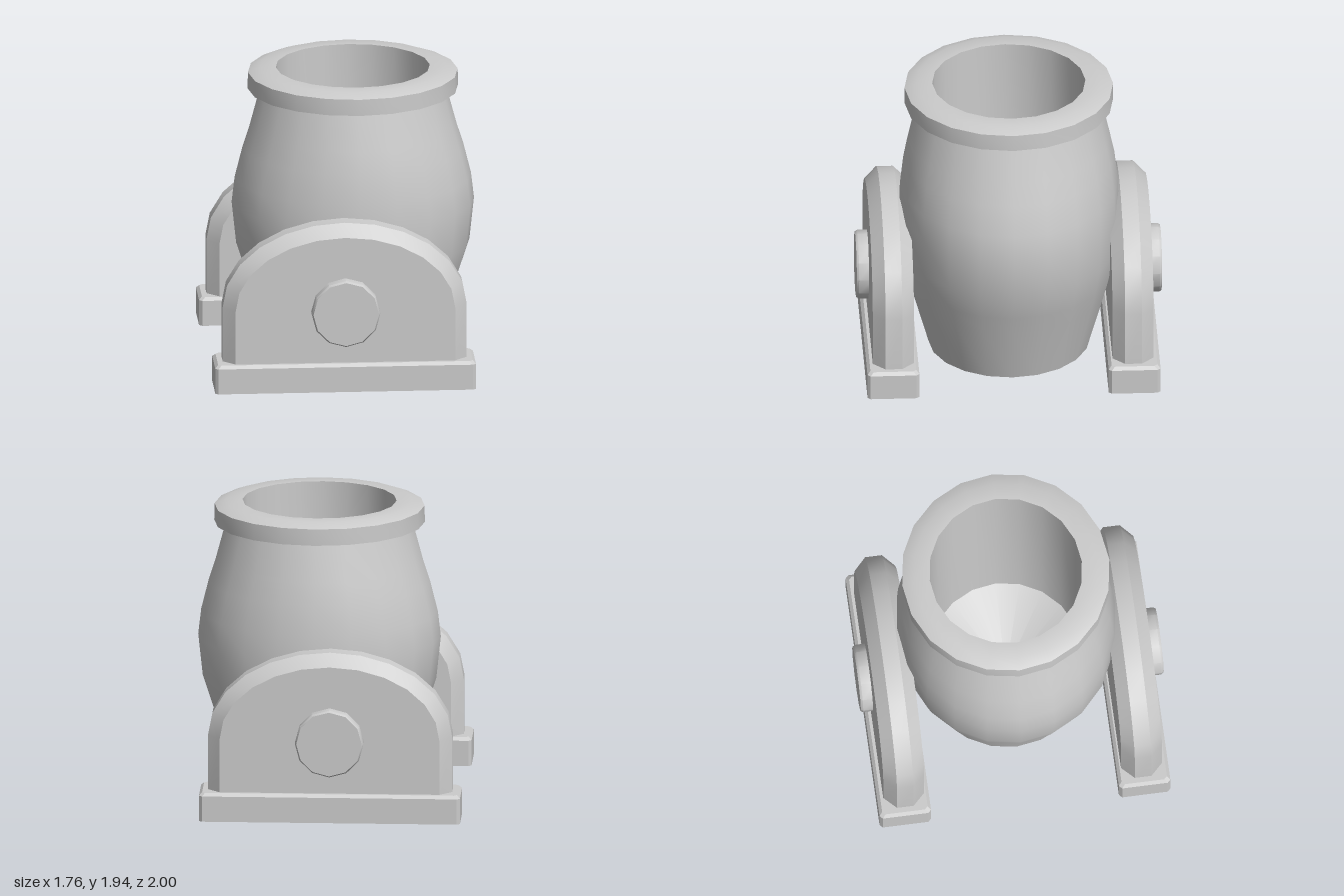
import * as THREE from 'three';
import { toCreasedNormals } from 'three/addons/utils/BufferGeometryUtils.js';

const material = new THREE.MeshStandardMaterial({ color: 0xcccccc, side: THREE.DoubleSide });

function part(name, geometry, crease = 0.6) {
  const mesh = new THREE.Mesh(toCreasedNormals(geometry, crease), material);
  mesh.name = name;
  return mesh;
}

// Bulging barrel with a collar and a bore that ends in a shallow cone
function barrelGeometry() {
  const profile = [
    [0.53, 0.02], [0.655, 0.42], [0.7, 0.55], [0.765, 0.75], [0.795, 1.03],
    [0.775, 1.2], [0.725, 1.4], [0.68, 1.54], [0.61, 1.8],
    [0.69, 1.8], [0.688, 1.91], [0.61, 1.94], [0.505, 1.94],
    [0.51, 0.31], [0, 0],
  ].map(([r, y]) => new THREE.Vector2(r, y));
  const geometry = new THREE.LatheGeometry(profile, 20);
  // Flatten the belly towards the side supports
  const p = geometry.attributes.position;
  for (let i = 0; i < p.count; i++) {
    const d = (p.getY(i) - 1) / 0.45;
    p.setZ(i, p.getZ(i) * (0.995 - 0.09 * Math.exp(-d * d)));
  }
  return geometry;
}

// Arched support plate, chamfered on both faces
function plateGeometry() {
  const bevel = 0.08, halfWidth = 0.8 - bevel, spring = 0.55, rise = 0.57 - bevel;
  const shape = new THREE.Shape();
  shape.moveTo(-halfWidth, 0.17);
  shape.lineTo(halfWidth, 0.17);
  const steps = 12;
  for (let i = 0; i <= steps; i++) {
    const a = (i / steps) * Math.PI;
    shape.lineTo(halfWidth * Math.cos(a), spring + rise * Math.sin(a));
  }
  shape.closePath();
  const geometry = new THREE.ExtrudeGeometry(shape, {
    depth: 0.11, bevelThickness: 0.08, bevelSize: bevel, bevelSegments: 1,
  });
  return geometry.translate(0, 0, 0.73);
}

// Base block: chamfered rectangles stacked in rings, open underneath
function baseGeometry() {
  const rings = [[0, 0], [0.17, 0], [0.19, 0.02]];
  const positions = [], index = [], n = 8, cut = 0.02;
  for (const [y, inset] of rings) {
    const x = 0.855 - inset, z = 0.17 - inset;
    const loop = [
      [x, z - cut], [x - cut, z], [cut - x, z], [-x, z - cut],
      [-x, cut - z], [cut - x, -z], [x - cut, -z], [x, cut - z],
    ];
    for (const [px, pz] of loop) positions.push(px, y, pz);
  }
  for (let r = 0; r < rings.length - 1; r++) {
    for (let i = 0; i < n; i++) {
      const a = r * n + i, b = r * n + (i + 1) % n;
      index.push(a, a + n, b, b, a + n, b + n);
    }
  }
  const top = (rings.length - 1) * n;
  for (let i = 1; i < n - 1; i++) index.push(top, top + i + 1, top + i);
  const geometry = new THREE.BufferGeometry();
  geometry.setAttribute('position', new THREE.Float32BufferAttribute(positions, 3));
  geometry.setIndex(index);
  return geometry.translate(0, 0, 0.79);
}

// Pivot boss with a fine chamfer on its outer edge
function bossGeometry() {
  const profile = [[0.225, 0.9], [0.225, 0.985], [0.215, 1], [0, 1]];
  return new THREE.LatheGeometry(profile.map(([r, y]) => new THREE.Vector2(r, y)), 12)
    .rotateX(Math.PI / 2)
    .translate(0, 0.54, 0);
}

export function createModel() {
  const model = new THREE.Group();
  model.name = 'mortar';

  const barrel = part('barrel', barrelGeometry());
  barrel.position.x = 0.085;
  model.add(barrel);

  // The same support stands in front and, turned around, behind
  for (const [name, turn] of [['frontSupport', 0], ['backSupport', Math.PI]]) {
    const support = new THREE.Group();
    support.name = name;
    support.position.x = -0.025;
    support.rotation.y = turn;
    support.add(
      part('plate', plateGeometry(), 0.5),
      part('base', baseGeometry(), 0.5),
      part('pivotBoss', bossGeometry()),
    );
    model.add(support);
  }
  return model;
}
